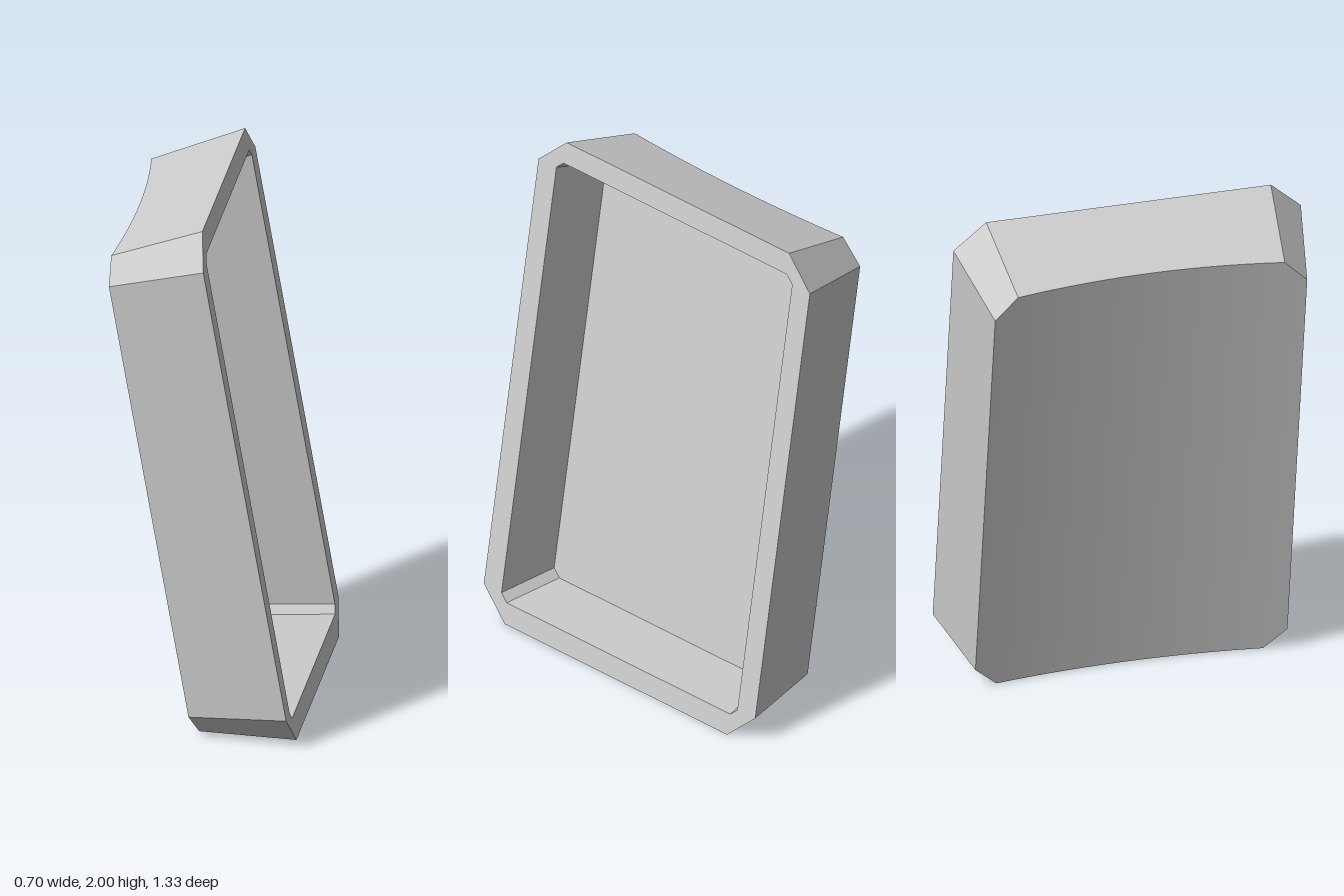
import * as THREE from 'three';

const STEPS = 20;      // divisions across the top and bottom edges
const FRONT = 0.344;   // local x of the open front plane
const TAPER = 0.18;    // every wall narrows towards the back

// Chamfered rectangle, counter-clockwise seen from the open side.
// depthAt(z) is the distance behind the front plane.
function section(h, w, cut, cutTaper, depthAt) {
  const points = [];
  const add = (locate) => {
    let p = [0, 0], t = 0;
    for (let i = 0; i < 5; i++) {
      t = depthAt(p[1]);
      p = locate(h - TAPER * t, w - TAPER * t, cut - cutTaper * t);
    }
    points.push(new THREE.Vector3(FRONT - t, p[0], p[1]));
  };
  for (const side of [1, -1]) {
    add((H, W, c) => [-side * (H - c), -side * W]);
    add((H, W, c) => [side * (H - c), -side * W]);
    for (let i = 0; i <= STEPS; i++) {
      const s = (2 * i / STEPS - 1) * side;
      add((H, W, c) => [side * H, s * (W - c)]);
    }
  }
  return points;
}

// Flat-faced band between two sections
function band(a, b) {
  const pts = [];
  a.forEach((p, i) => {
    const j = (i + 1) % a.length;
    pts.push(p, b[i], b[j], p, b[j], a[j]);
  });
  const geo = new THREE.BufferGeometry().setFromPoints(pts);
  geo.computeVertexNormals();
  return geo;
}

// Flat floor filling a section
function cap(ring) {
  const pts = [];
  for (let i = 1; i < ring.length - 1; i++) pts.push(ring[0], ring[i], ring[i + 1]);
  const geo = new THREE.BufferGeometry().setFromPoints(pts);
  geo.computeVertexNormals();
  return geo;
}

// Smooth hollowed back made of upright strips across a section
function curvedBack(ring) {
  const n = ring.length, index = [];
  const top = (k) => 1 + k, bottom = (k) => (n - k) % n;
  for (let k = 0; k < STEPS + 2; k++) {
    index.push(bottom(k), bottom(k + 1), top(k + 1), bottom(k), top(k + 1), top(k));
  }
  const geo = new THREE.BufferGeometry().setFromPoints(ring);
  geo.setIndex(index);
  geo.computeVertexNormals();
  return geo;
}

export function createModel() {
  const group = new THREE.Group();
  group.name = 'tiltedTray';
  const grey = new THREE.MeshStandardMaterial({ color: 0xcccccc });
  grey.name = 'light grey';

  // Ring sections, from the recess floor round to the back
  const floor = section(0.927, 0.578, 0.03, 0, () => 0.244);
  const opening = section(0.927, 0.578, 0.03, 0, () => 0);
  const outer = section(1.015, 0.665, 0.12, 0.085, () => 0);
  const back = section(1.015, 0.665, 0.12, 0.085, (z) => 0.332 + 0.123 * z * z);

  // Tray tilted back about its long base edge
  const tray = new THREE.Group();
  tray.name = 'tray';
  const tilt = THREE.MathUtils.degToRad(10);
  tray.rotation.z = tilt;
  tray.position.set(-0.955 * Math.sin(tilt), 0.955 * Math.cos(tilt), 0);
  group.add(tray);

  const parts = {
    recessFloor: cap(floor),
    recessWalls: band(floor, opening),
    frontRim: band(opening, outer),
    outerWalls: band(outer, back),
    curvedBack: curvedBack(back),
  };
  for (const [name, geo] of Object.entries(parts)) {
    const mesh = new THREE.Mesh(geo, grey);
    mesh.name = name;
    tray.add(mesh);
  }
  return group;
}
